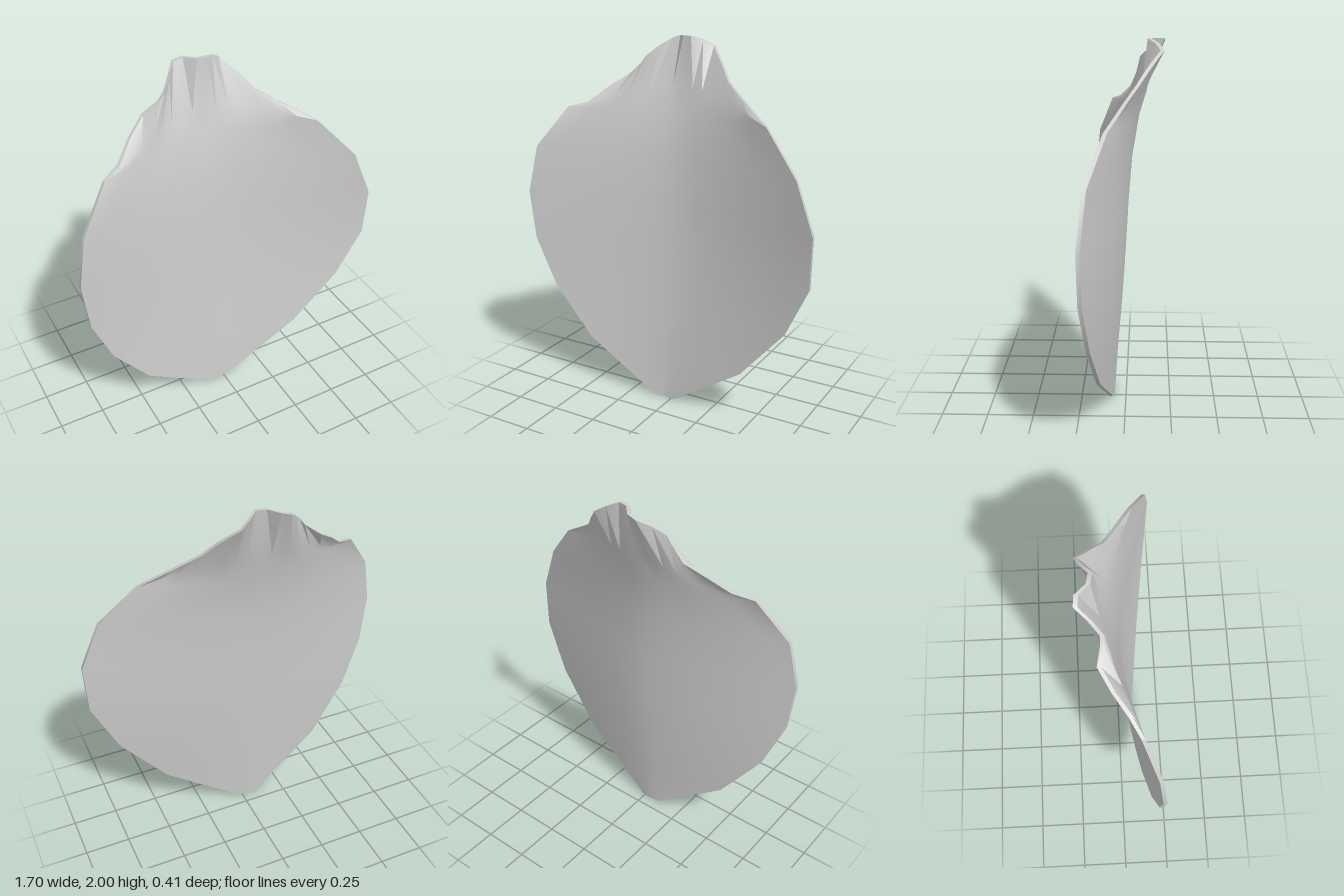
import * as THREE from 'three';
import { toCreasedNormals } from 'three/addons/utils/BufferGeometryUtils.js';

// Horizontal sections: y, left x, right x, middle z, edge z
const SECTIONS = [
  [0.00, -0.10, 0.02, 0.075, 0.08],
  [0.29, -0.50, 0.45, 0.055, 0.13],
  [0.58, -0.71, 0.70, 0.030, 0.165],
  [0.86, -0.82, 0.835, 0.010, 0.19],
  [1.13, -0.85, 0.845, -0.005, 0.195],
  [1.39, -0.80, 0.74, -0.025, 0.17],
  [1.61, -0.64, 0.54, -0.06, 0.085],
];

// Gathered upper rim, where the sheet folds into pleats
const RIM = [
  [-0.64, 1.61, 0.085], [-0.54, 1.64, 0.03], [-0.45, 1.72, -0.04], [-0.35, 1.79, -0.10],
  [-0.27, 1.85, -0.08], [-0.24, 1.89, -0.08], [-0.19, 1.94, -0.13], [-0.14, 1.98, -0.19],
  [-0.09, 1.995, -0.185], [-0.04, 2.0, -0.13], [0.01, 2.0, -0.12], [0.06, 1.98, -0.16],
  [0.11, 1.95, -0.185], [0.15, 1.91, -0.15], [0.20, 1.86, -0.11], [0.26, 1.79, -0.06],
  [0.35, 1.73, -0.01], [0.54, 1.61, 0.085],
];

const HALF_THICKNESS = 0.01;

function petalGeometry() {
  const cols = RIM.length;
  const rows = SECTIONS.map(([y, xl, xr, zm, ze]) => RIM.map((_, i) => {
    const t = i / (cols - 1);
    return [xl + (xr - xl) * t, y, zm + (ze - zm) * Math.abs(2 * t - 1) ** 1.5];
  }));

  // Smooth line at which the pleats begin
  const last = rows[rows.length - 1];
  rows.push(last.map(([x, y, z], i) => {
    const s = 2 * i / (cols - 1) - 1;
    const k = 0.33;
    return [x + (RIM[i][0] - x) * k, y + (RIM[i][1] - y) * k, z - 0.04 * (1 - s * s)];
  }));
  rows.push(RIM);

  // Front sheet, then back sheet
  const points = rows.flat();
  const n = points.length;
  const pos = [];
  for (const side of [1, -1]) {
    for (const [x, y, z] of points) pos.push(x, y, z + side * HALF_THICKNESS);
  }
  const index = [];
  for (let j = 0; j < rows.length - 1; j++) {
    for (let i = 0; i < cols - 1; i++) {
      const a = j * cols + i, b = a + 1, c = b + cols, d = a + cols;
      index.push(a, b, c, a, c, d);
      index.push(n + a, n + c, n + b, n + a, n + d, n + c);
    }
  }

  // Narrow wall around the outline
  const loop = [];
  for (let i = 0; i < cols; i++) loop.push(i);
  for (let j = 1; j < rows.length; j++) loop.push(j * cols + cols - 1);
  for (let i = cols - 2; i >= 0; i--) loop.push((rows.length - 1) * cols + i);
  for (let j = rows.length - 2; j > 0; j--) loop.push(j * cols);
  loop.forEach((p, k) => {
    const q = loop[(k + 1) % loop.length];
    index.push(p, n + p, n + q, p, n + q, q);
  });

  const geometry = new THREE.BufferGeometry();
  geometry.setAttribute('position', new THREE.Float32BufferAttribute(pos, 3));
  geometry.setIndex(index);
  return toCreasedNormals(geometry, 0.6);
}

export function createModel() {
  const group = new THREE.Group();
  group.name = 'petalModel';
  const grey = new THREE.MeshStandardMaterial({ color: 0xcccccc });
  grey.name = 'light grey';
  const petal = new THREE.Mesh(petalGeometry(), grey);
  petal.name = 'petal';
  group.add(petal);
  return group;
}
